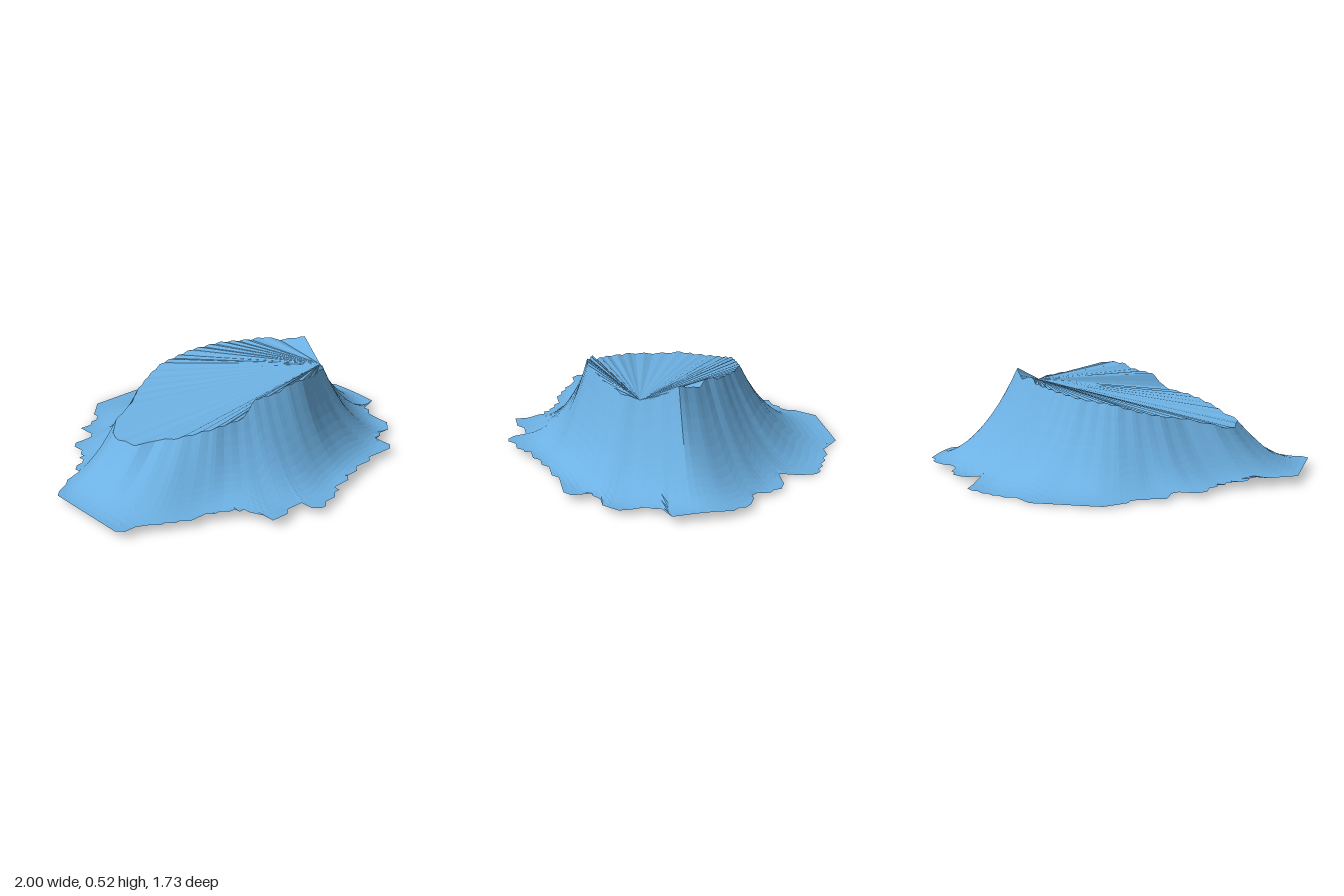
import * as THREE from 'three';

const CENTRE = new THREE.Vector3(0, 0, 0.05);
const SEGMENTS = 160;
const ROWS = 12;
const STEP = 1 / 30;

// Crater rim and foot of the mound, as [x, z, height], running from the back towards +x
const RIM = [
  [-0.1, -0.36, 0.42], [0.1, -0.35, 0.445], [0.25, -0.28, 0.47], [0.38, -0.17, 0.485], [0.42, -0.1, 0.51],
  [0.5, -0.04, 0.49], [0.56, 0.07, 0.53], [0.54, 0.15, 0.48], [0.53, 0.18, 0.465], [0.5, 0.25, 0.445],
  [0.44, 0.34, 0.465], [0.36, 0.37, 0.475], [0.3, 0.41, 0.49], [0.15, 0.465, 0.53], [0.06, 0.455, 0.525],
  [0, 0.44, 0.495], [-0.12, 0.4, 0.48], [-0.2, 0.4, 0.4], [-0.35, 0.35, 0.375], [-0.43, 0.3, 0.355],
  [-0.5, 0.25, 0.335], [-0.57, 0.16, 0.315], [-0.65, 0.11, 0.29], [-0.66, -0.05, 0.275], [-0.64, -0.1, 0.28],
  [-0.56, -0.17, 0.31], [-0.43, -0.21, 0.34], [-0.32, -0.29, 0.36], [-0.2, -0.34, 0.39],
];
const FOOT = [
  [-0.21, -0.85, 0.015], [0.18, -0.87, 0.015], [0.3, -0.78, 0.01], [0.45, -0.72, 0.01], [0.59, -0.64, 0],
  [0.59, -0.43, 0.03], [0.76, -0.42, 0.02], [0.82, -0.25, 0.03], [0.94, -0.2, 0.04], [1, -0.1, 0.05],
  [1, 0.21, 0.05], [0.9, 0.24, 0.04], [0.86, 0.36, 0.03], [0.85, 0.48, 0.03], [0.69, 0.52, 0.05],
  [0.65, 0.65, 0.04], [0.5, 0.67, 0.05], [0.3, 0.72, 0.06], [0.1, 0.78, 0.05], [0, 0.84, 0.04],
  [-0.12, 0.86, 0.04], [-0.15, 0.78, 0.05], [-0.22, 0.76, 0.06], [-0.28, 0.8, 0.05], [-0.36, 0.81, 0.04],
  [-0.39, 0.66, 0.06], [-0.5, 0.57, 0.05], [-0.7, 0.5, 0.05], [-0.8, 0.46, 0.05], [-0.9, 0.41, 0.05],
  [-1, 0.39, 0.05], [-1, -0.12, 0.05], [-0.8, -0.22, 0.05], [-0.65, -0.36, 0.04], [-0.58, -0.52, 0.03],
  [-0.44, -0.55, 0.03], [-0.43, -0.65, 0.02], [-0.3, -0.7, 0.02],
];

// Point where a ray from the centre crosses a closed outline
function crossing(outline, angle) {
  const dx = Math.cos(angle), dz = Math.sin(angle);
  for (let i = 0; i < outline.length; i++) {
    const a = outline[i], b = outline[(i + 1) % outline.length];
    const ax = a[0] - CENTRE.x, az = a[1] - CENTRE.z;
    const bx = b[0] - CENTRE.x, bz = b[1] - CENTRE.z;
    const sa = dx * az - dz * ax, sb = dx * bz - dz * bx;
    if (sa > 0 || sb <= 0) continue;
    const t = sa / (sa - sb);
    if (dx * (ax + t * (bx - ax)) + dz * (az + t * (bz - az)) > 0) {
      return new THREE.Vector3(a[0] + t * (b[0] - a[0]), a[2] + t * (b[2] - a[2]), a[1] + t * (b[1] - a[1]));
    }
  }
}

const radius = (p) => Math.hypot(p.x - CENTRE.x, p.z - CENTRE.z);

// Foot radius and height averaged over neighbouring rays, so the slope stays smooth inside a jagged edge
function smoothFoot(angle) {
  let r = 0, y = 0;
  for (let j = -4; j <= 4; j++) {
    const p = crossing(FOOT, angle + j * 0.045);
    r += radius(p) / 9;
    y += p.y / 9;
  }
  return { r, y };
}

function buildGeometry(points, index) {
  const geometry = new THREE.BufferGeometry().setFromPoints(points);
  geometry.setIndex(index);
  geometry.computeVertexNormals();
  return geometry;
}

export function createModel() {
  const group = new THREE.Group();
  group.name = 'craterMound';
  const material = new THREE.MeshStandardMaterial({ color: 0x6cb0e2, flatShading: true, side: THREE.DoubleSide });
  const snap = (v) => Math.round(v / STEP) * STEP;

  // Concave slope: steepest at the front, gentlest at the -x end, with a stepped foot
  const points = [], rim = [], index = [];
  for (let i = 0; i < SEGMENTS; i++) {
    const angle = ((i + 0.13) / SEGMENTS) * Math.PI * 2;
    const top = crossing(RIM, angle), foot = crossing(FOOT, angle), base = smoothFoot(angle);
    const front = Math.max(0, Math.sin(angle)), back = Math.max(0, -Math.sin(angle));
    const power = 1.85 + 0.6 * front * front + 0.5 * back * back - 0.1 * Math.max(0, -Math.cos(angle));
    const rimRadius = radius(top);
    top.y += 0.004 * Math.sin(angle * 40);
    rim.push(top);
    for (let k = 0; k <= ROWS; k++) {
      const p = top.clone().lerp(foot, k / ROWS);
      const t = Math.min(1, (radius(p) - rimRadius) / (base.r - rimRadius));
      const ripple = 0.02 * Math.sin(angle * 11 + t * 3) * t * (1 - t);
      p.y = base.y + (top.y - base.y) * Math.pow(1 - t, power) + ripple;
      if (k === ROWS) {
        p.set(snap(p.x), Math.max(0, Math.min(p.y, foot.y + 0.03)), snap(p.z));
      }
      points.push(p);
    }
    const next = ((i + 1) % SEGMENTS) * (ROWS + 1);
    for (let k = 0; k < ROWS; k++) {
      const a = i * (ROWS + 1) + k, c = next + k;
      index.push(a, c, a + 1, c, c + 1, a + 1);
    }
  }
  const slope = new THREE.Mesh(buildGeometry(points, index), material);
  slope.name = 'slope';

  // Cap: a fan of triangles spreading from a low point on the rim
  const target = new THREE.Vector3(0.5, 0.445, 0.25);
  let apex = 0;
  rim.forEach((p, i) => { if (p.distanceTo(target) < rim[apex].distanceTo(target)) apex = i; });
  const fan = [];
  for (let j = 1; j < SEGMENTS - 1; j++) {
    fan.push(apex, (apex + j + 1) % SEGMENTS, (apex + j) % SEGMENTS);
  }
  const cap = new THREE.Mesh(buildGeometry(rim, fan), material);
  cap.name = 'cap';

  group.add(slope, cap);
  return group;
}
